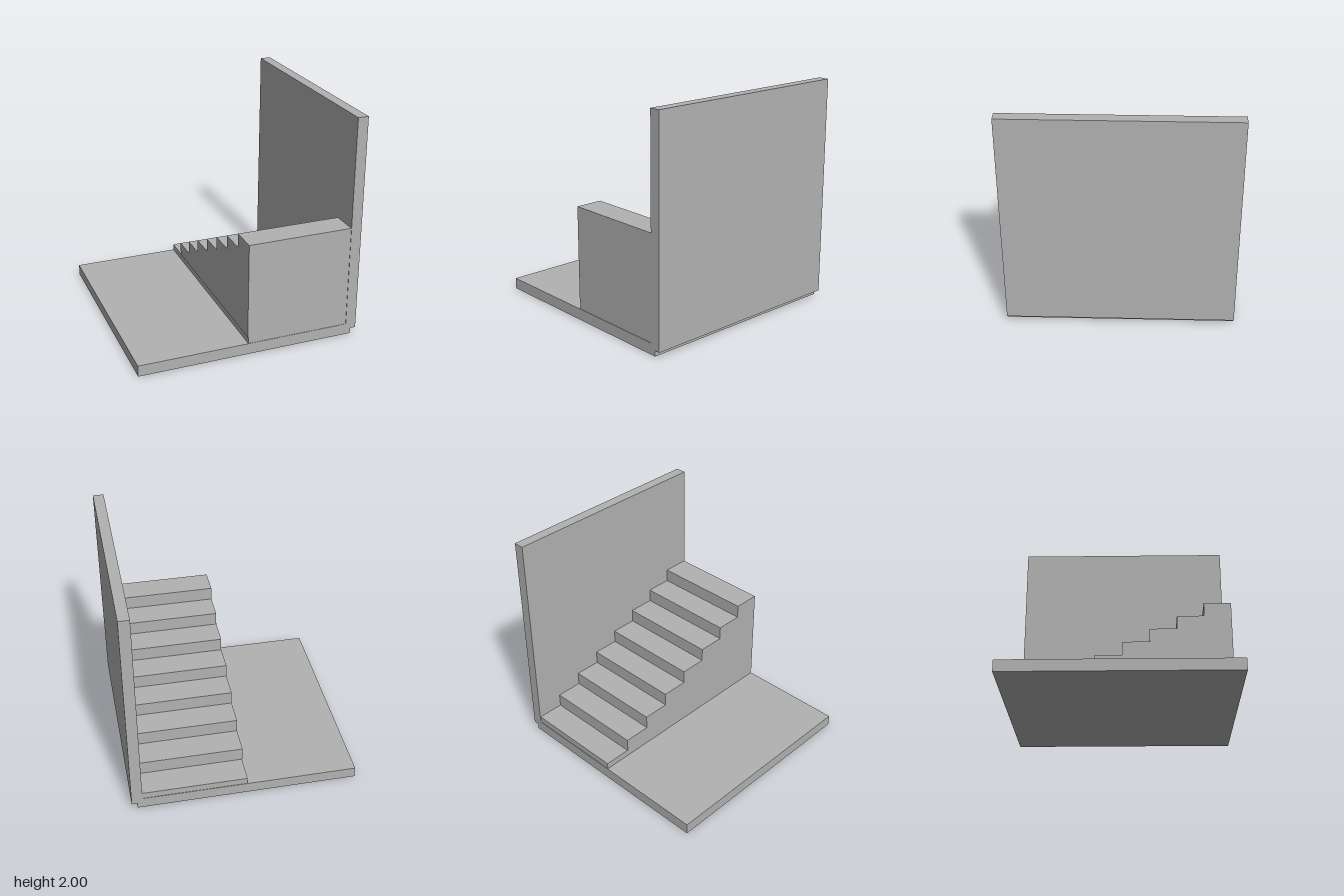
import * as THREE from 'three';

export function createModel() {
  const model = new THREE.Group();
  const grey = new THREE.MeshStandardMaterial({ color: 0xb2b2b2 });
  grey.name = 'plain grey';

  // Box given by its limits on each axis
  function addBox(name, [x0, x1], [y0, y1], [z0, z1]) {
    const mesh = new THREE.Mesh(new THREE.BoxGeometry(x1 - x0, y1 - y0, z1 - z0), grey);
    mesh.position.set((x0 + x1) / 2, (y0 + y1) / 2, (z0 + z1) / 2);
    mesh.name = name;
    model.add(mesh);
  }

  const wallX = 0.905;
  const half = 0.976;

  // Floor slab, and the wall that overhangs its edge
  addBox('floor', [-1, 0.95], [0, 0.1], [-half, half]);
  addBox('wall', [wallX, 1], [0.05, 2], [-half, half]);

  // Lowest step, running on as the base of the staircase
  const steps = 8, back = -0.972, run = 0.243, firstTop = 0.16, rise = 0.123;
  const front = back + steps * run;
  addBox('lowestStep', [-0.021, wallX], [0.09, firstTop], [back, front]);

  // Upper steps: stepped side profile (z across, y up) pushed along x
  const profile = new THREE.Shape();
  profile.moveTo(front, firstTop);
  profile.lineTo(front, firstTop + (steps - 1) * rise);
  for (let i = steps - 1; i >= 1; i--) {
    profile.lineTo(back + i * run, firstTop + i * rise);
    profile.lineTo(back + i * run, firstTop + (i - 1) * rise);
  }
  const geometry = new THREE.ExtrudeGeometry(profile, { depth: wallX + 0.027, bevelEnabled: false });
  geometry.rotateY(-Math.PI / 2);
  const stairs = new THREE.Mesh(geometry, grey);
  stairs.position.x = wallX;
  stairs.name = 'upperSteps';
  model.add(stairs);

  return model;
}
